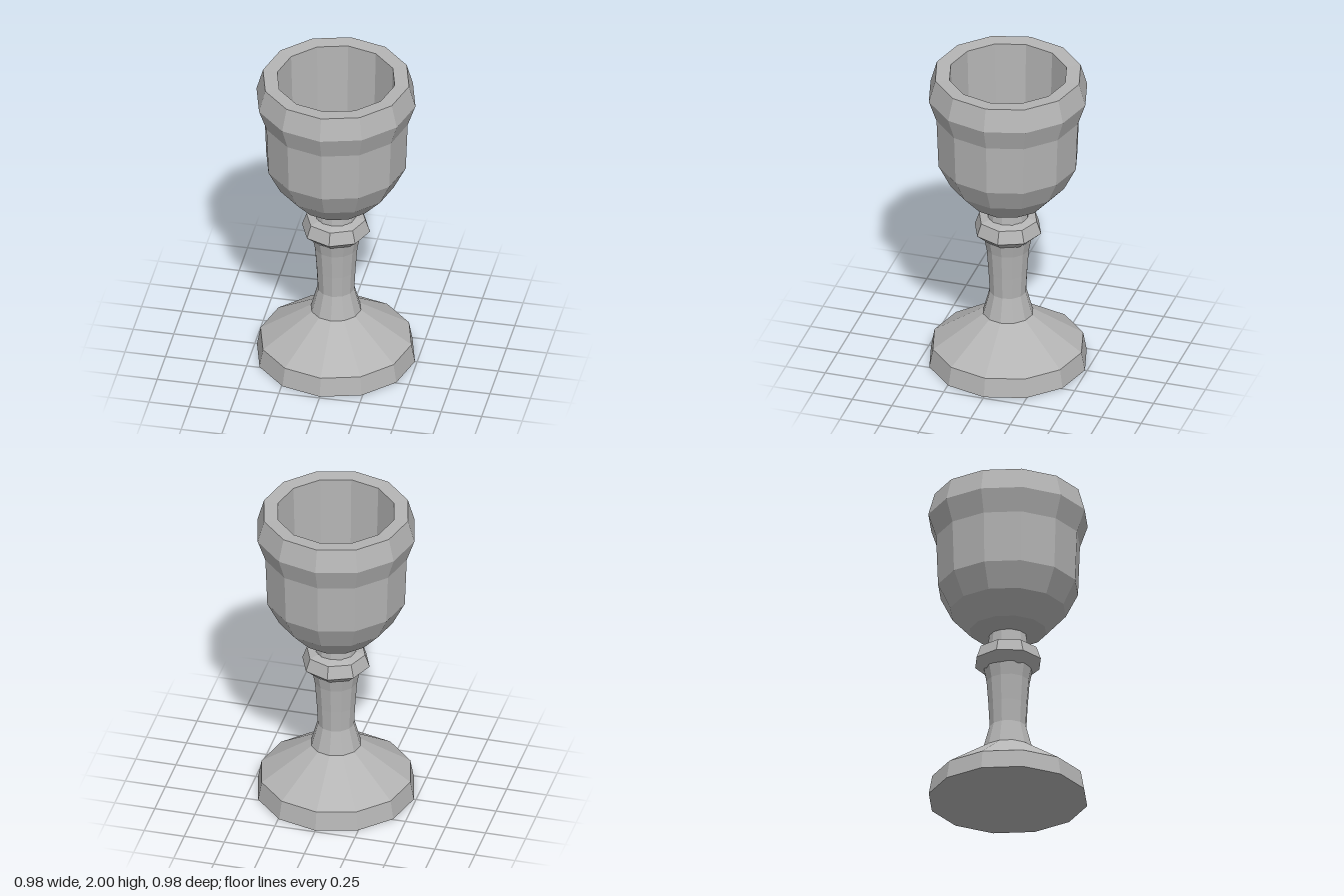
import * as THREE from 'three';

export function createModel() {
  const goblet = new THREE.Group();
  goblet.name = 'goblet';
  const stone = new THREE.MeshStandardMaterial({ color: 0xb4b4b4, flatShading: true });
  stone.name = 'grey stone';

  // Turns a [radius, height] profile into a faceted part
  function turned(name, profile, sides) {
    const points = profile.map(([r, y]) => new THREE.Vector2(r, y));
    const mesh = new THREE.Mesh(new THREE.LatheGeometry(points, sides), stone);
    mesh.name = name;
    goblet.add(mesh);
  }

  // Foot: flat underside, upright edge and sloping top
  turned('foot', [[0, 0], [0.487, 0], [0.465, 0.12], [0.155, 0.33], [0.1, 0.345]], 12);

  // Waisted stem, running up into the bowl
  turned('stem', [[0.155, 0.325], [0.113, 0.48], [0.12, 0.62], [0.132, 0.78], [0.148, 0.86]], 12);

  // Knop with a sharp flared edge
  turned('knop', [[0.12, 0.84], [0.148, 0.855], [0.21, 0.91], [0.182, 0.99], [0.125, 1.005]], 8);

  turned('neck', [[0.125, 1.0], [0.115, 1.085], [0.14, 1.105]], 12);

  // Bowl: outside, flared rim, hollow inside
  turned('bowl', [
    [0.115, 1.085], [0.235, 1.12], [0.355, 1.25], [0.43, 1.4], [0.442, 1.72],
    [0.49, 1.86], [0.45, 2], [0.362, 1.995],
    [0.345, 1.45], [0.225, 1.23], [0, 1.19],
  ], 12);

  return goblet;
}
